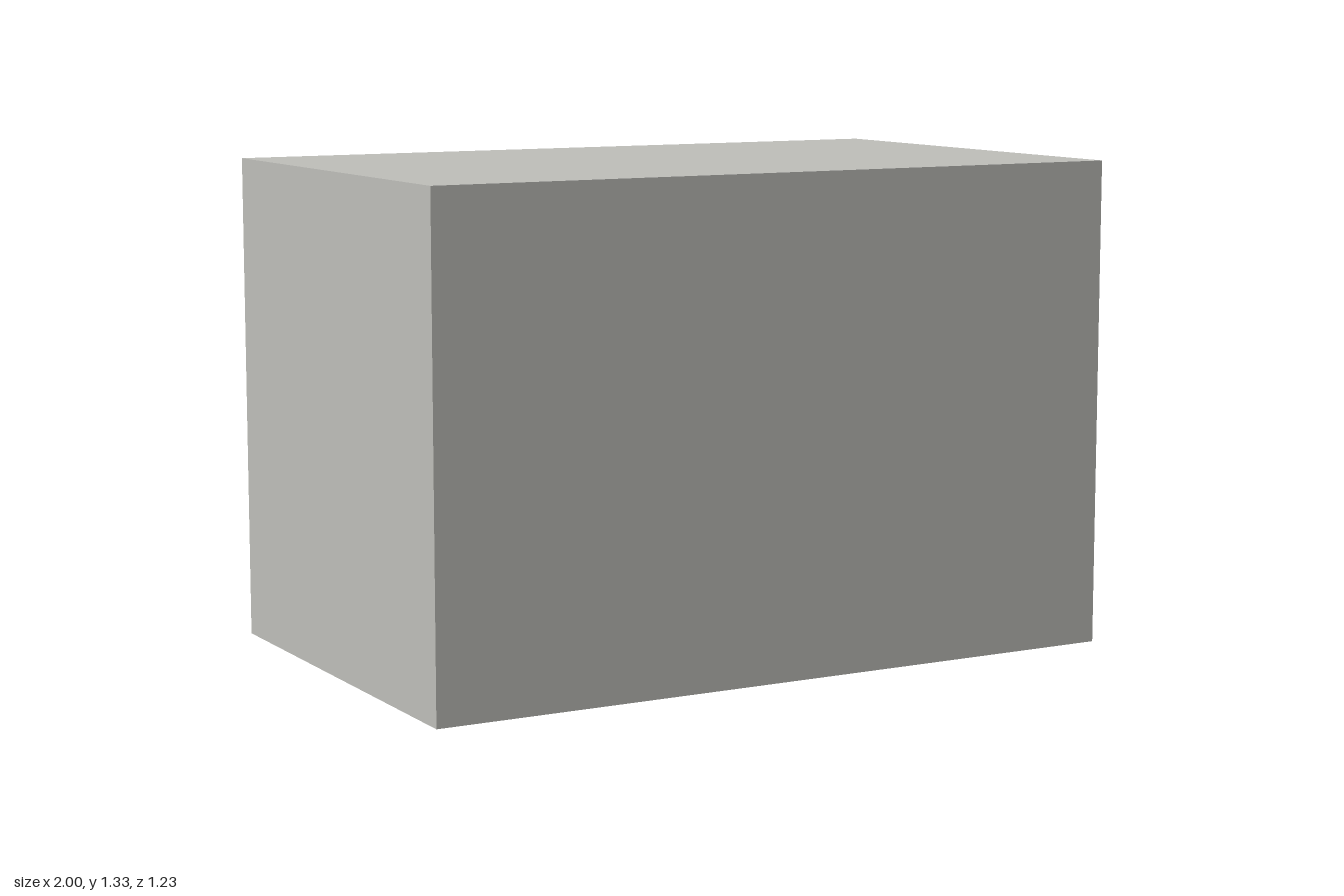
import * as THREE from 'three';

const W = 2, H = 1.333, D = 1.234, T = 0.06;

// Closed rectangle outline, used for the carcass and its openings
function rect(path, x, y, w, h) {
  path.moveTo(x, y);
  path.lineTo(x + w, y);
  path.lineTo(x + w, y + h);
  path.lineTo(x, y + h);
  path.closePath();
  return path;
}

export function createModel() {
  const group = new THREE.Group();
  group.name = 'counter';
  const grey = new THREE.MeshStandardMaterial({ color: 0xc0c0bb });
  grey.name = 'warm grey';

  // Sides, top, base and middle shelf, with two bays open at the back
  const outline = rect(new THREE.Shape(), -W / 2, 0, W, H);
  const bayHeight = (H - 3 * T) / 2;
  for (let i = 0; i < 2; i++) {
    outline.holes.push(rect(new THREE.Path(), -W / 2 + T, T + i * (bayHeight + T), W - 2 * T, bayHeight));
  }
  const carcass = new THREE.Mesh(
    new THREE.ExtrudeGeometry(outline, { depth: D - T, bevelEnabled: false }), grey);
  carcass.name = 'carcassWithShelf';
  carcass.position.z = -D / 2;
  group.add(carcass);

  // Solid front panel
  const front = new THREE.Mesh(new THREE.BoxGeometry(W, H, T), grey);
  front.name = 'frontPanel';
  front.position.set(0, H / 2, D / 2 - T / 2);
  group.add(front);

  return group;
}
